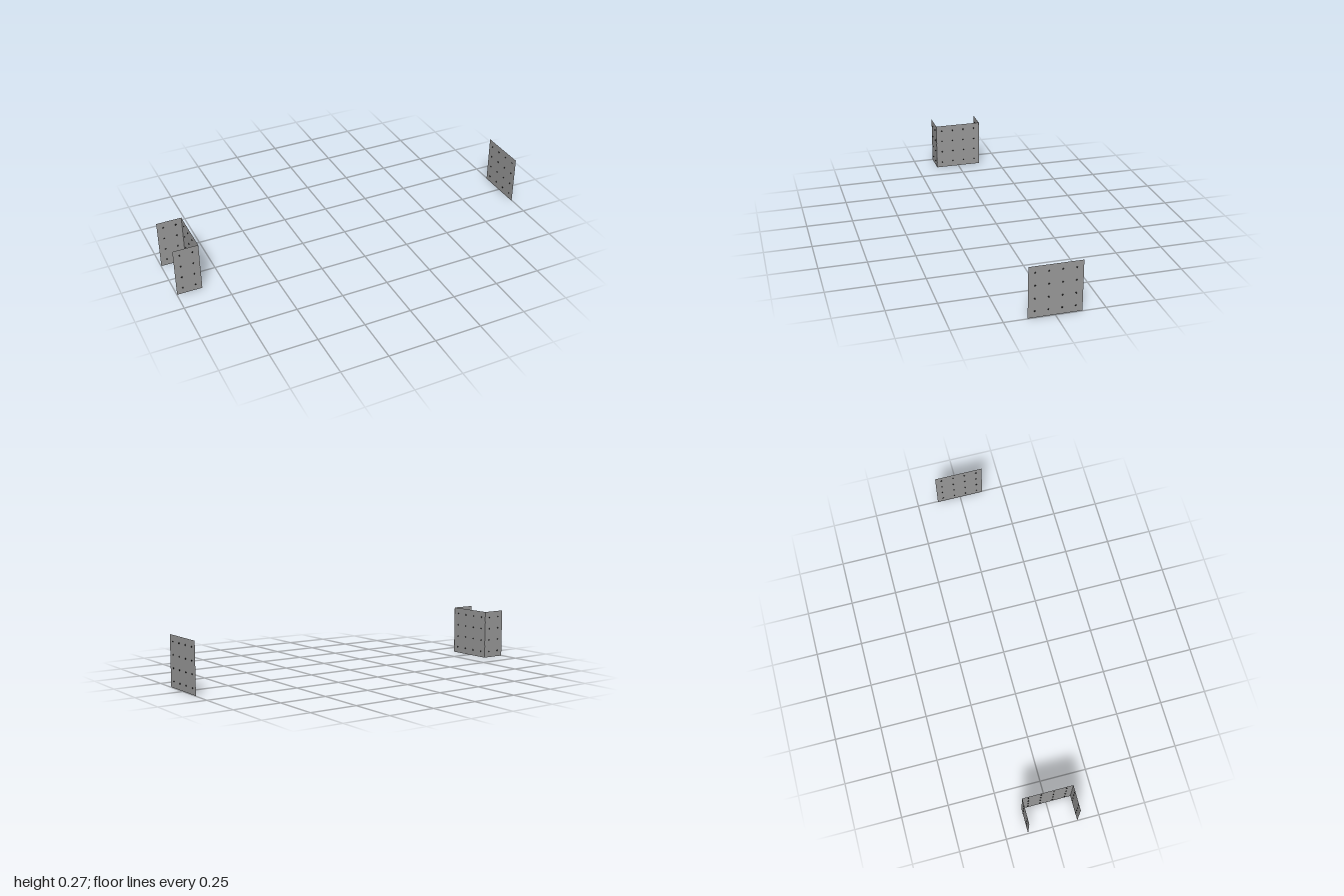
import * as THREE from 'three';

const STEP = 0.0667;   // rivet spacing
const HEIGHT = 0.267;
const RIVET = 0.004;

export function createModel() {
  const model = new THREE.Group();
  const sheet = new THREE.MeshStandardMaterial({ color: 0x999999, side: THREE.DoubleSide });
  sheet.name = 'grey sheet';
  const dark = new THREE.MeshStandardMaterial({ color: 0x222222 });
  dark.name = 'dark rivet';
  const rivetGeometry = new THREE.SphereGeometry(RIVET, 6, 4);

  // A thin upright sheet, four rivets high and the given number wide
  function panel(name, columns, x, z, turn) {
    const group = new THREE.Group();
    group.name = name;
    const plate = new THREE.Mesh(new THREE.PlaneGeometry(columns * STEP, HEIGHT), sheet);
    plate.name = name + 'Sheet';
    group.add(plate);
    for (let i = 0; i < columns; i++) {
      for (let j = 0; j < 4; j++) {
        const rivet = new THREE.Mesh(rivetGeometry, dark);
        rivet.name = 'rivet';
        rivet.position.set((i - (columns - 1) / 2) * STEP, (j - 1.5) * STEP, 0);
        group.add(rivet);
      }
    }
    group.position.set(x, HEIGHT / 2, z);
    group.rotation.y = turn;
    model.add(group);
  }

  // Three-sided bay, open toward -x
  panel('frontPanel', 2, -0.932, 0.133, 0);
  panel('backPanel', 2, -0.932, -0.133, Math.PI);
  panel('innerPanel', 4, -0.866, 0, Math.PI / 2);
  // Single panel at the far end
  panel('endPanel', 4, 0.997, 0, Math.PI / 2);

  return model;
}
